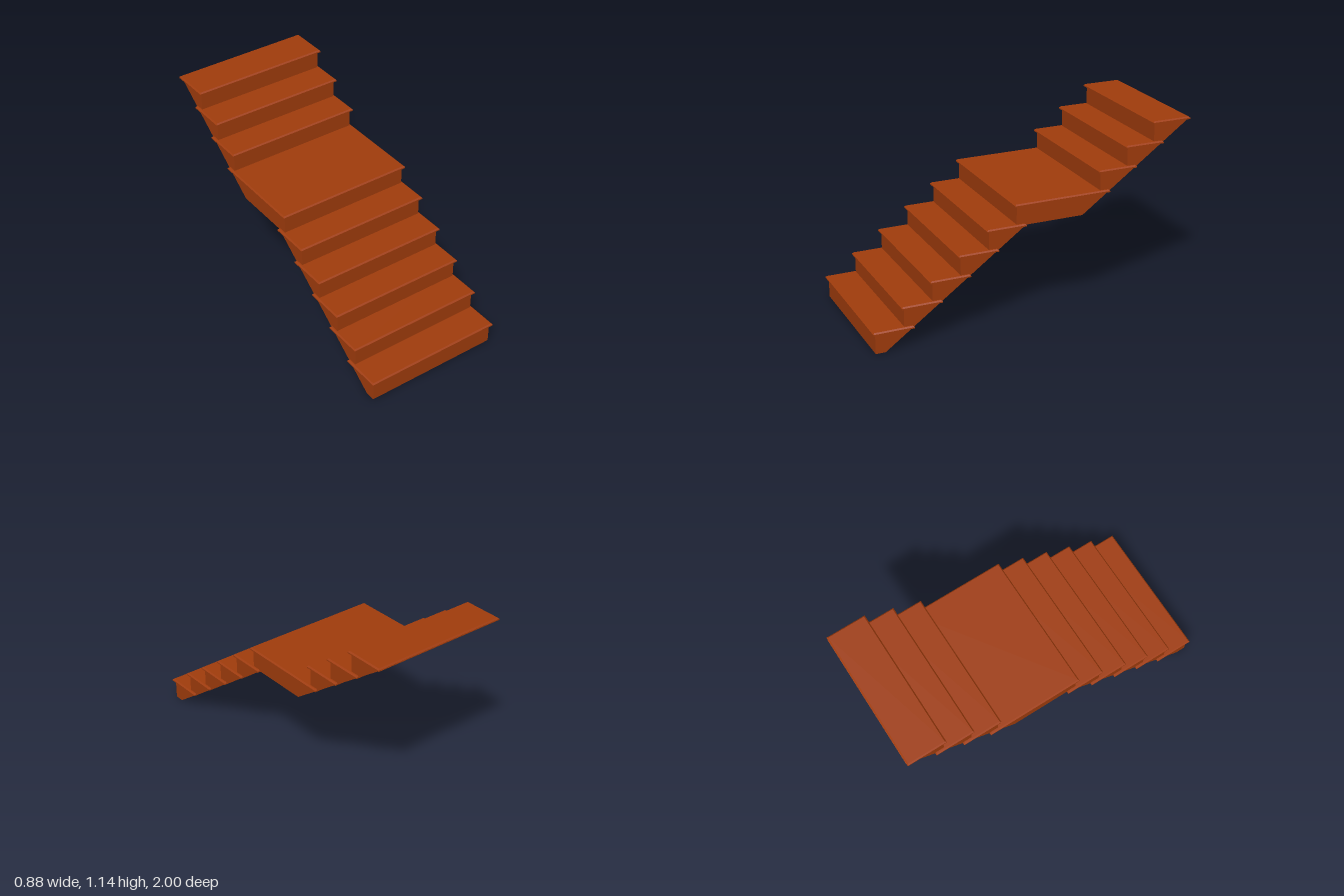
import * as THREE from 'three';

const STEPS = 9, LANDING = 5;          // index of the step widened into a landing
const RISE = 0.1257, RUN = 0.174, EXTRA = 0.361;
const BODY_W = 0.846, TREAD_W = 0.876, TREAD_H = 0.015, TREAD_D = 0.247;
const CHAMFER = 0.008, NOSING = 0.015, FOOT = 0.06;

// Slab whose upper edges are chamfered all round
function treadGeometry(depth) {
  const box = new THREE.BoxGeometry(TREAD_W, TREAD_H, depth, 1, 2, 1);
  const p = box.attributes.position;
  for (let i = 0; i < p.count; i++) {
    if (p.getY(i) < TREAD_H / 4) continue;
    p.setX(i, p.getX(i) - Math.sign(p.getX(i)) * CHAMFER);
    p.setZ(i, p.getZ(i) - Math.sign(p.getZ(i)) * CHAMFER);
  }
  const geo = box.toNonIndexed();
  geo.computeVertexNormals();
  return geo;
}

// Step body: upright riser in front, sloping underside at the back
function bodyGeometry(extra) {
  const shape = new THREE.Shape([
    new THREE.Vector2(0, 0),
    new THREE.Vector2(FOOT + extra, 0),
    new THREE.Vector2(FOOT + extra + RUN, RISE),
    new THREE.Vector2(0, RISE),
  ]);
  const geo = new THREE.ExtrudeGeometry(shape, { depth: BODY_W, bevelEnabled: false });
  geo.translate(0, 0, -BODY_W / 2);
  geo.rotateY(Math.PI / 2);            // profile x runs towards the back
  return geo;
}

export function createModel() {
  const model = new THREE.Group();
  model.name = 'staircase';
  const wood = new THREE.MeshStandardMaterial({ color: 0xa03c0c });

  for (let i = 0; i < STEPS; i++) {
    const extra = i === LANDING ? EXTRA : 0;
    const nose = 1 - i * RUN - (i > LANDING ? EXTRA : 0);
    const depth = TREAD_D + extra;
    const label = i === LANDING ? 'landing' : 'step' + (i + 1);

    const step = new THREE.Group();
    step.name = label;

    const body = new THREE.Mesh(bodyGeometry(extra), wood);
    body.name = label + 'Body';
    body.position.set(0, i * RISE, nose - NOSING);

    const tread = new THREE.Mesh(treadGeometry(depth), wood);
    tread.name = label + 'Tread';
    tread.position.set(0, (i + 1) * RISE + 0.002, nose - depth / 2);

    step.add(body, tread);
    model.add(step);
  }
  return model;
}
